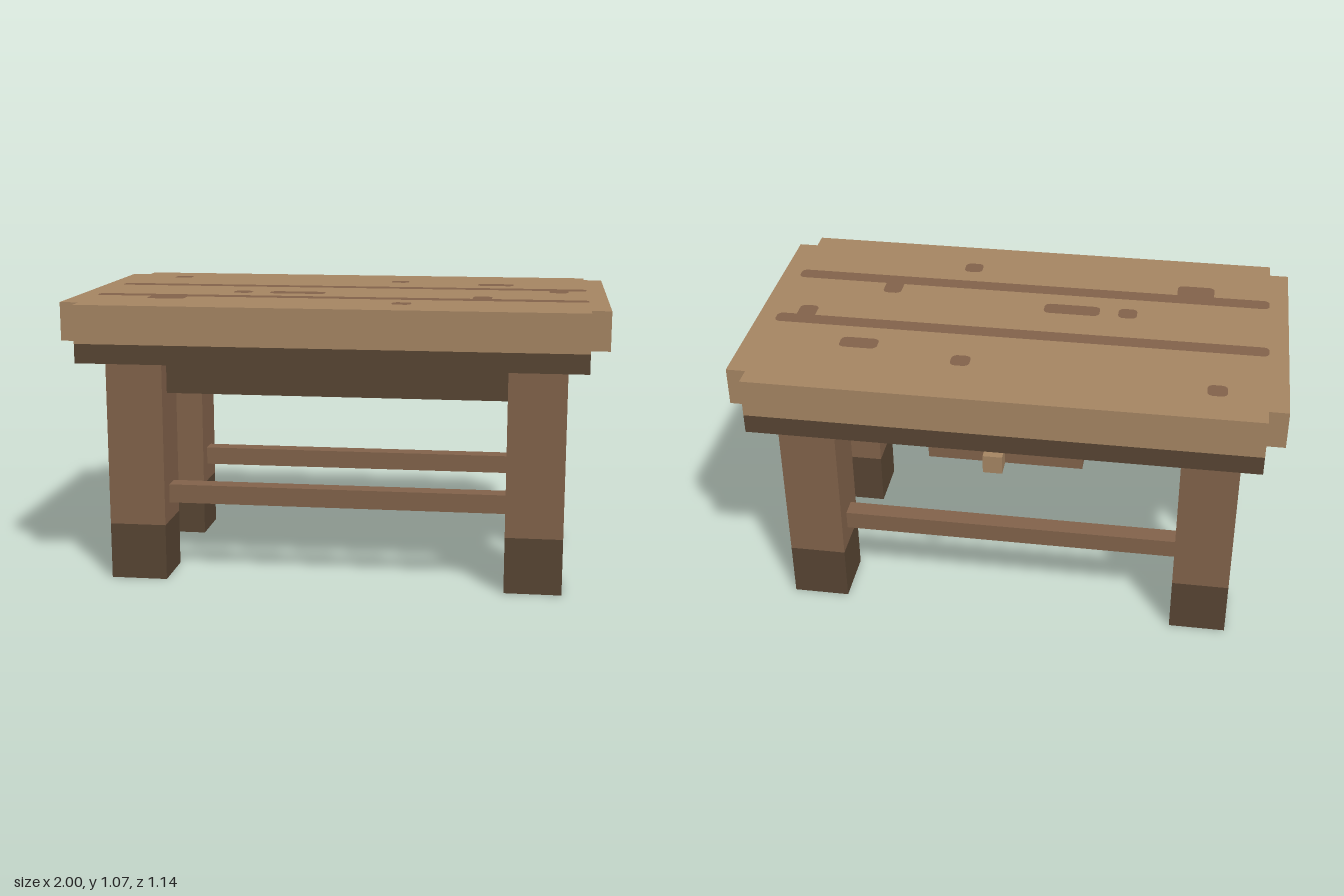
import * as THREE from 'three';

const U = 1 / 14; // one grid block

const mat = (name, color) => {
  const m = new THREE.MeshStandardMaterial({ color });
  m.name = name;
  return m;
};

export function createModel() {
  const group = new THREE.Group();
  const tan = mat('light wood', 0xa88764);
  const brown = mat('medium wood', 0x84644c);
  const dark = mat('dark wood', 0x594634);

  const add = (name, geometry, material, parent = group) => {
    const mesh = new THREE.Mesh(geometry, material);
    mesh.name = name;
    parent.add(mesh);
    return mesh;
  };

  // Box from its low and high corners, in blocks
  const block = (name, material, [x0, y0, z0], [x1, y1, z1], parent) => {
    const g = new THREE.BoxGeometry((x1 - x0) * U, (y1 - y0) * U, (z1 - z0) * U);
    const mesh = add(name, g, material, parent);
    mesh.position.set((x0 + x1) / 2 * U, (y0 + y1) / 2 * U, (z0 + z1) / 2 * U);
    return mesh;
  };

  // Table top: slab with a small notch at each corner
  const outline = [
    [14, 7], [13, 7], [13, 8], [-13, 8], [-13, 7], [-14, 7],
    [-14, -7], [-13, -7], [-13, -8], [13, -8], [13, -7], [14, -7],
  ].map(([x, z]) => new THREE.Vector2(x * U, z * U));
  const top = add('tableTop', new THREE.ExtrudeGeometry(new THREE.Shape(outline),
    { depth: 2 * U, bevelEnabled: false }), tan);
  top.rotation.x = -Math.PI / 2;
  top.position.y = 13 * U;
  block('underFrame', dark, [-13, 12, -8], [13, 13, 8]);

  // Legs with dark feet, and the rails between them
  for (const sx of [-1, 1]) {
    for (const sz of [-1, 1]) {
      const leg = new THREE.Group();
      leg.name = 'leg';
      leg.position.set(sx * 10.5 * U, 0, sz * 4.5 * U);
      group.add(leg);
      block('legPost', brown, [-1.5, 3, -1.5], [1.5, 12, 1.5], leg);
      block('foot', dark, [-1.5, 0, -1.5], [1.5, 3, 1.5], leg);
    }
    block('sideApron', dark, [sx * 10.5 - 0.5, 10, -3], [sx * 10.5 + 0.5, 12, 3]);
  }
  for (const s of [-1, 1]) {
    block('longApron', dark, [-9, 10, s * 4.5 - 0.5], [9, 12, s * 4.5 + 0.5]);
    block('stretcher', brown, [-9, 4, s * 4.5 - 0.5], [9, 5, s * 4.5 + 0.5]);
  }

  // Drawer and knob at the back
  block('drawerFront', brown, [-4, 10, -6], [4, 12, -5]);
  block('drawerKnob', tan, [0, 10, -7], [1, 11, -6]);

  // Plank seams and wood knots, as thin rounded plates: x0, z0, x1, z1
  const plate = (name, x0, z0, x1, z1) => {
    const r = 0.022;
    const [a, b, c, d] = [x0 * U, -z1 * U, x1 * U, -z0 * U];
    const s = new THREE.Shape();
    s.absarc(c - r, d - r, r, 0, Math.PI / 2);
    s.absarc(a + r, d - r, r, Math.PI / 2, Math.PI);
    s.absarc(a + r, b + r, r, Math.PI, Math.PI * 1.5);
    s.absarc(c - r, b + r, r, Math.PI * 1.5, Math.PI * 2);
    const mesh = add(name, new THREE.ShapeGeometry(s, 4), brown);
    mesh.rotation.x = -Math.PI / 2;
    mesh.position.y = 15 * U + 0.002;
  };
  for (const z of [-1.9, 3.05]) plate('plankSeam', -13, z, 13, z + 0.9);
  [
    [-11, -6, -10, -5], [2, -5, 3, -4], [7, -4, 9, -3],
    [-6, 1, -5, 2], [-4, 1, -1, 2], [3, 5, 4, 6],
    [11, -1.5, 12, 0], [7, 2, 8, 3.5], [-10, 3.5, -8, 5], // these three touch a seam
  ].forEach((k) => plate('woodKnot', ...k));

  return group;
}
